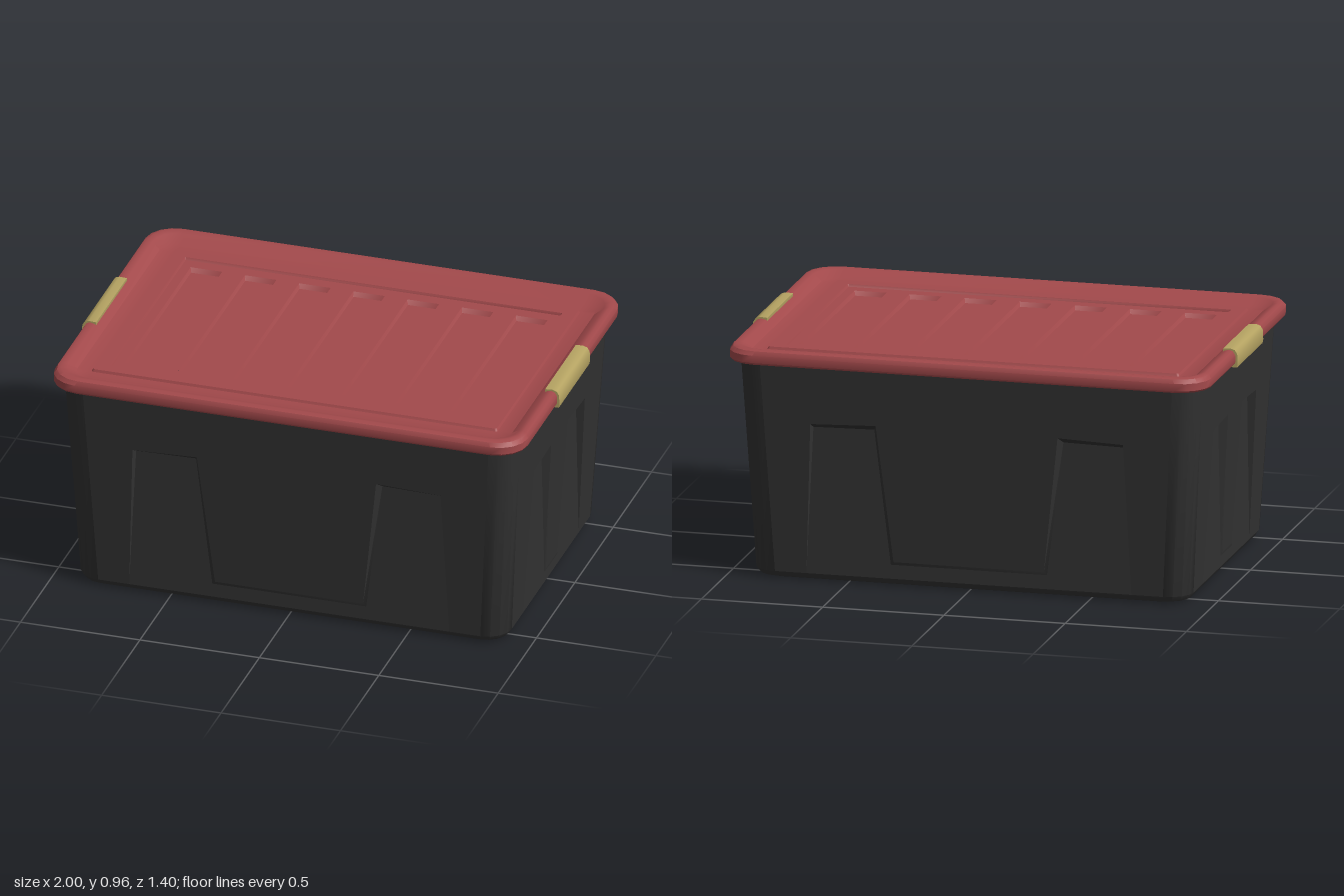
import * as THREE from 'three';
import { toCreasedNormals, mergeGeometries } from 'three/addons/utils/BufferGeometryUtils.js';

const black = new THREE.MeshStandardMaterial({ name: 'charcoal plastic', color: 0x323232 });
const red = new THREE.MeshStandardMaterial({ name: 'red plastic', color: 0xa2494b });
const tan = new THREE.MeshStandardMaterial({ name: 'tan plastic', color: 0xb5a362 });

const SEG = 4; // segments per rounded corner

function fromTriangles(points) {
  const g = new THREE.BufferGeometry();
  g.setAttribute('position', new THREE.Float32BufferAttribute(points.flat(), 3));
  return toCreasedNormals(g, 0.6);
}

// Rounded rectangle, counterclockwise from above
function ring([hx, hz, y, r]) {
  const pts = [];
  for (let c = 0; c < 4; c++) {
    const sx = c === 0 || c === 3 ? 1 : -1, sz = c < 2 ? -1 : 1;
    for (let i = 0; i <= SEG; i++) {
      const a = (c + i / SEG) * Math.PI / 2;
      pts.push([sx * (hx - r) + r * Math.cos(a), y, sz * (hz - r) - r * Math.sin(a)]);
    }
  }
  return pts;
}

// Skin a stack of rounded rectangles; openBand leaves the four flat sides out of one band
function loft(profile, { capStart = false, capEnd = false, openBand = -1 } = {}) {
  const rings = profile.map(ring), n = rings[0].length, tri = [];
  for (let k = 0; k < rings.length - 1; k++) {
    for (let j = 0; j < n; j++) {
      if (k === openBand && j % (SEG + 1) === SEG) continue;
      const m = (j + 1) % n, a = rings[k], b = rings[k + 1];
      tri.push(a[j], a[m], b[m], a[j], b[m], b[j]);
    }
  }
  const cap = (r, flip) => {
    for (let j = 0; j < n; j++) {
      const m = (j + 1) % n, c = [0, r[0][1], 0];
      tri.push(c, flip ? r[m] : r[j], flip ? r[j] : r[m]);
    }
  };
  if (capStart) cap(rings[0], true);
  if (capEnd) cap(rings[rings.length - 1], false);
  return fromTriangles(tri);
}

const Y0 = 0.03, Y1 = 0.9, R = 0.1, FLARE = 0.05;

// Sloping wall with an upright U-shaped recess whose legs run out at the foot
function wall(halfWidth, depth, { bo, to, ti, bi, vt, vb }) {
  const lean = (v) => depth + FLARE * (v - Y0) / (Y1 - Y0);
  const mirrored = (half) => [...half.map(([u, v]) => [-u, v]), ...half.slice().reverse()];
  const edge = mirrored([[bo, Y0], [to, vt], [ti, vt + 0.01], [bi, vb]]);
  const floor = mirrored([[bo, Y0], [to - 0.004, vt - 0.02], [ti + 0.015, vt - 0.015], [bi + 0.012, vb - 0.012]]);
  const w0 = halfWidth - R, w1 = w0 + FLARE;
  const sheet = (pts, depthAt) => {
    const g = new THREE.ShapeGeometry(new THREE.Shape(pts.map((p) => new THREE.Vector2(...p)))).toNonIndexed();
    const p = g.attributes.position;
    for (let i = 0; i < p.count; i++) p.setZ(i, depthAt(p.getY(i)));
    g.deleteAttribute('uv');
    g.computeVertexNormals();
    return g;
  };
  const ledge = [];
  for (let i = 0; i < edge.length - 1; i++) {
    const [a, b] = [edge[i], edge[i + 1]].map(([u, v]) => [u, v, lean(v)]);
    const [c, d] = [floor[i], floor[i + 1]].map(([u, v]) => [u, v, depth]);
    ledge.push(a, d, b, a, c, d);
  }
  return mergeGeometries([
    sheet([[-w0, Y0], ...edge, [w0, Y0], [w1, Y1], [-w1, Y1]], lean),
    sheet(floor, () => depth),
    fromTriangles(ledge),
  ]);
}

export function createModel() {
  const model = new THREE.Group();
  model.name = 'storageTote';
  const add = (name, geometry, material, parent = model) => {
    const mesh = new THREE.Mesh(geometry, material);
    mesh.name = name;
    parent.add(mesh);
    return mesh;
  };

  // Tub: recessed base, rounded foot and flared corners
  const tub = new THREE.Group();
  tub.name = 'tub';
  model.add(tub);
  add('tubShell', loft([
    [0.80, 0.51, 0.01, 0.03], [0.81, 0.52, 0, 0.03], [0.86, 0.57, 0, 0.08],
    [0.885, 0.595, 0.008, 0.09], [0.90, 0.61, Y0, R], [0.95, 0.66, Y1, R],
  ], { capStart: true, openBand: 4 }), black, tub);

  // Four recessed walls
  const longWall = wall(0.90, 0.61, { bo: 0.67, to: 0.645, ti: 0.375, bi: 0.31, vt: 0.655, vb: 0.1 });
  const shortWall = wall(0.61, 0.90, { bo: 0.36, to: 0.33, ti: 0.11, bi: 0.075, vt: 0.655, vb: 0.085 });
  ['frontWall', 'leftWall', 'backWall', 'rightWall'].forEach((name, i) => {
    add(name, i % 2 ? shortWall : longWall, black, tub).rotation.y = i * Math.PI / 2;
  });

  // Lid: rolled rim, sunken tray and raised border
  const lid = new THREE.Group();
  lid.name = 'lid';
  model.add(lid);
  add('lidRim', loft([
    [0.94, 0.65, 0.90, 0.1], [0.985, 0.695, 0.897, 0.12], [0.99, 0.70, 0.905, 0.12],
    [0.99, 0.70, 0.935, 0.12], [0.98, 0.69, 0.951, 0.12], [0.965, 0.672, 0.956, 0.11],
    [0.945, 0.65, 0.951, 0.1], [0.91, 0.605, 0.926, 0.07], [0.85, 0.545, 0.925, 0.01],
    [0.845, 0.54, 0.935, 0.01], [0.79, 0.49, 0.935, 0.006], [0.785, 0.485, 0.925, 0.001],
  ]), red, lid);

  // Centre panel with seven sunken slots
  const rect = (Type, x, hx, hz) => new Type([[-hx, -hz], [hx, -hz], [hx, hz], [-hx, hz]]
    .map(([u, v]) => new THREE.Vector2(x + u, v)));
  const panel = rect(THREE.Shape, 0, 0.785, 0.485);
  const slot = loft([[0.066, 0.432, 0.925, 0.001], [0.06, 0.418, 0.908, 0.001]], { capEnd: true });
  for (let i = -3; i <= 3; i++) {
    panel.holes.push(rect(THREE.Path, i * 0.227, 0.066, 0.432));
    add('lidSlot', slot, red, lid).position.x = i * 0.227;
  }
  add('lidPanel', new THREE.ShapeGeometry(panel).rotateX(-Math.PI / 2).translate(0, 0.925, 0), red, lid);

  // Latch handles wrapped over the short rims
  const latch = new THREE.Shape([
    [0.94, 0.94], [0.965, 0.885], [0.997, 0.885], [1, 0.9], [0.998, 0.94],
    [0.988, 0.956], [0.97, 0.962], [0.94, 0.96],
  ].map((p) => new THREE.Vector2(...p)));
  const latchGeometry = toCreasedNormals(
    new THREE.ExtrudeGeometry(latch, { depth: 0.4, bevelEnabled: false }).translate(0, 0, -0.2), 0.7);
  add('leftLatch', latchGeometry, tan);
  add('rightLatch', latchGeometry, tan).rotation.y = Math.PI;

  return model;
}
